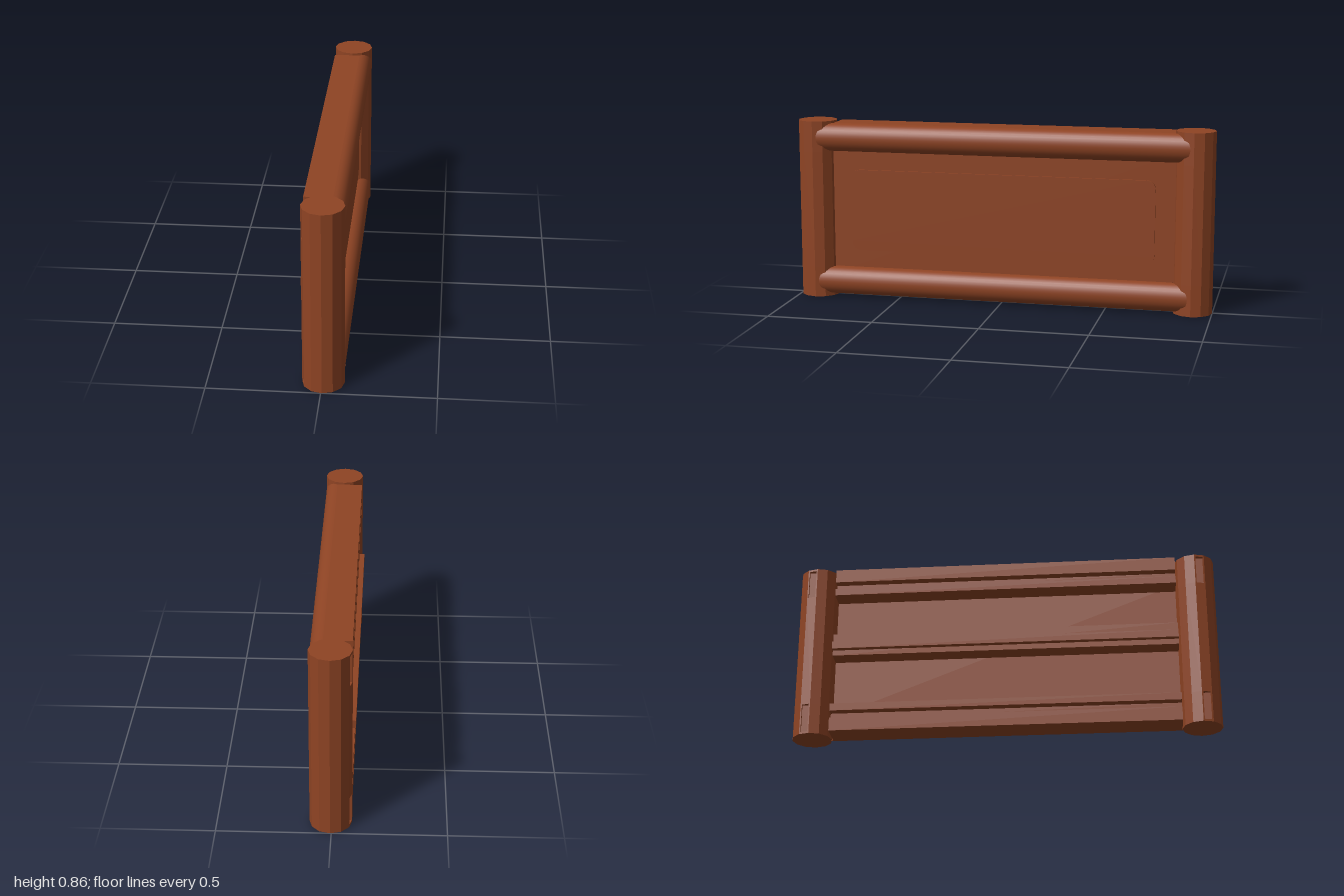
import * as THREE from 'three';
import { toCreasedNormals } from 'three/addons/utils/BufferGeometryUtils.js';

export function createModel() {
  const model = new THREE.Group();
  model.name = 'railingPanel';
  const wood = new THREE.MeshStandardMaterial({ color: 0x8f4424 });
  wood.name = 'reddish brown wood';

  const add = (name, geometry, parent = model) => {
    const mesh = new THREE.Mesh(geometry, wood);
    mesh.name = name;
    parent.add(mesh);
    return mesh;
  };
  const box = (name, x0, x1, y0, y1, halfZ) => {
    const mesh = add(name, new THREE.BoxGeometry(x1 - x0, y1 - y0, halfZ * 2));
    mesh.position.set((x0 + x1) / 2, (y0 + y1) / 2, 0);
  };
  const polygon = (pts) => new THREE.Shape(pts.map(([x, y]) => new THREE.Vector2(x, y)));

  // Twelve-sided post section, optionally with a shallow slot in its back
  const R = 0.093, HEIGHT = 0.855, POST_Z = 0.907;
  const postSection = (side, slotted) => {
    const pts = [];
    for (let i = 0; i < 12; i++) {
      const a = (i * Math.PI) / 6;
      pts.push([R * Math.cos(a), R * Math.sin(a)]);
      if (slotted && i === 6) {
        const edge = (y) => -R + y * Math.tan(Math.PI / 12);
        pts.push([edge(0.006), -0.006], [-0.07, -0.006], [-0.07, -0.04], [edge(0.04), -0.04]);
      }
    }
    return polygon(side > 0 ? pts : pts.map(([x, y]) => [x, -y]).reverse());
  };

  // Posts, stacked from plain and slotted lengths
  const levels = [0, 0.01, 0.147, 0.706, 0.845, HEIGHT];
  for (const side of [1, -1]) {
    const post = new THREE.Group();
    post.name = side > 0 ? 'frontPost' : 'backPost';
    post.position.set(0.005, 0, side * POST_Z);
    for (let i = 0; i < 5; i++) {
      const geo = new THREE.ExtrudeGeometry(postSection(side, i % 2 === 1), {
        depth: levels[i + 1] - levels[i], bevelEnabled: false,
      });
      geo.rotateX(-Math.PI / 2);
      geo.translate(0, levels[i], 0);
      add(i % 2 ? 'slottedPostLength' : 'postLength', geo, post);
    }
    model.add(post);
  }

  // Rails: grooved back half and a rounded front half with mitred ends
  const END = 0.815, JOIN = 0.04, H = 0.135;
  const extrudeRail = (shape) => {
    const geo = new THREE.ExtrudeGeometry(shape, { depth: END * 2, bevelEnabled: false });
    geo.translate(0, 0, -END);
    return geo;
  };
  const backSection = [
    [JOIN, 0], [JOIN, H], [-0.085, H], [-0.085, 0.07], [-0.045, 0.07],
    [-0.045, 0.035], [-0.085, 0.035], [-0.085, 0],
  ];
  const bulge = [];
  for (let i = 0; i <= 16; i++) {
    const a = -Math.PI / 2 + (i * Math.PI) / 16;
    bulge.push([JOIN + 0.058 * Math.cos(a), H / 2 + (H / 2) * Math.sin(a)]);
  }
  for (const top of [true, false]) {
    const rail = new THREE.Group();
    rail.name = top ? 'topRail' : 'bottomRail';
    rail.position.y = top ? 0.71 : 0.01;
    const section = top ? backSection : backSection.map(([x, y]) => [x, H - y]);
    add('railBack', extrudeRail(polygon(section)), rail);

    const geo = extrudeRail(polygon(bulge));
    const p = geo.attributes.position;
    for (let i = 0; i < p.count; i++) {
      const z = p.getZ(i);
      p.setZ(i, z + Math.sign(z) * Math.max(0, p.getX(i) - JOIN) * 1.3);
    }
    add('railFront', toCreasedNormals(geo, 0.6), rail);
    model.add(rail);
  }

  // Thin panel between the rails
  box('panel', 0.01, 0.036, 0.1, 0.76, 0.85);

  // Raised field with rounded corners
  const w = 0.73, y0 = 0.23, y1 = 0.622, r = 0.045;
  const field = new THREE.Shape();
  field.moveTo(-w + r, y0);
  field.lineTo(w - r, y0);
  field.quadraticCurveTo(w, y0, w, y0 + r);
  field.lineTo(w, y1 - r);
  field.quadraticCurveTo(w, y1, w - r, y1);
  field.lineTo(-w + r, y1);
  field.quadraticCurveTo(-w, y1, -w, y1 - r);
  field.lineTo(-w, y0 + r);
  field.quadraticCurveTo(-w, y0, -w + r, y0);
  const fieldGeo = new THREE.ExtrudeGeometry(field, { depth: 0.012, bevelEnabled: false, curveSegments: 6 });
  fieldGeo.rotateY(Math.PI / 2);
  fieldGeo.translate(0.034, 0, 0);
  add('raisedField', toCreasedNormals(fieldGeo, 0.6));

  // Middle brace and its strip across the back
  box('middleBrace', -0.075, 0.012, 0.395, 0.505, END);
  box('braceStrip', -0.1, -0.07, 0.421, 0.457, END);

  return model;
}
